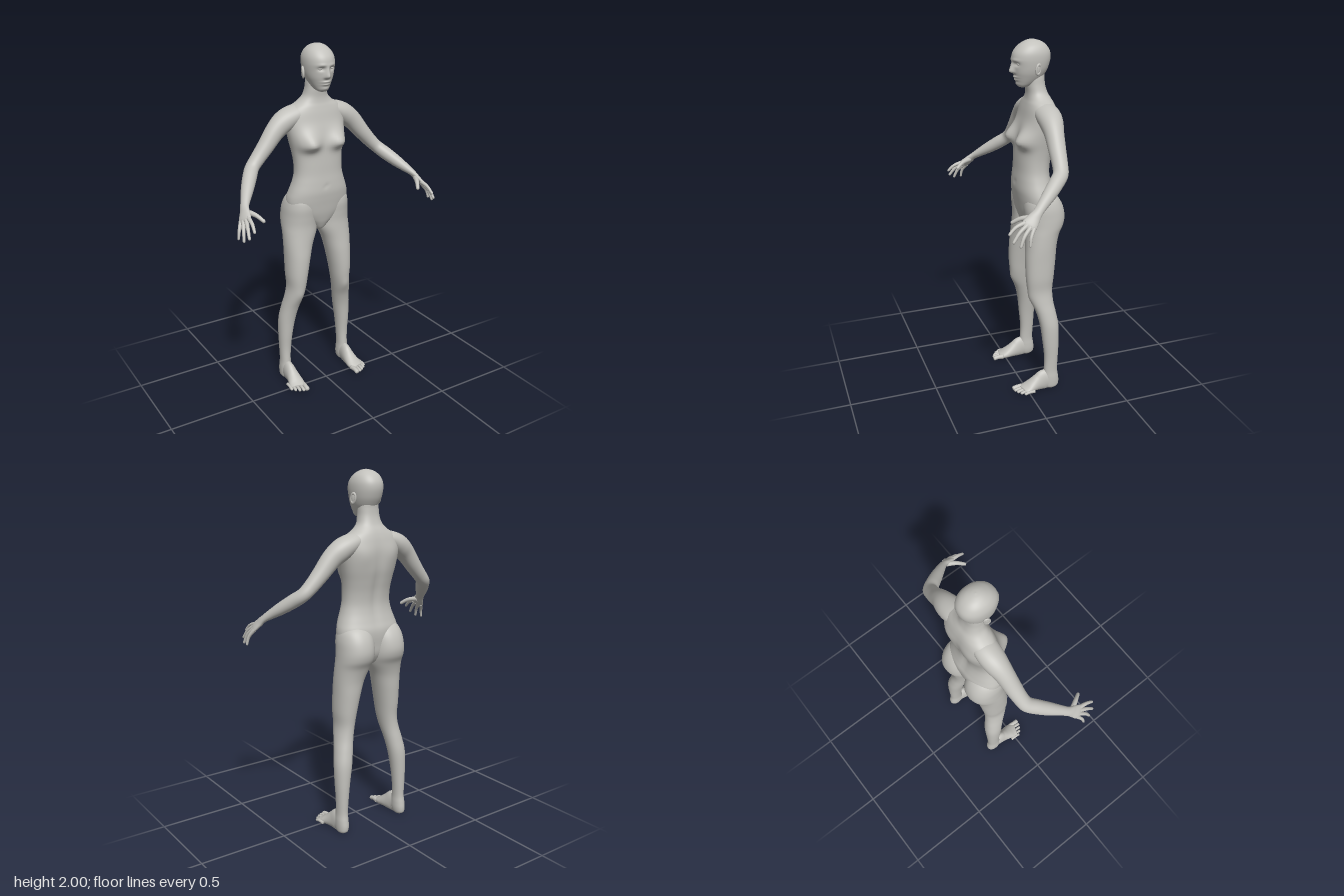
import * as THREE from 'three';

const skin = new THREE.MeshStandardMaterial({ color: 0xc2c1bc });
skin.name = 'warmGrey';

// Catmull-Rom sample of a list of number rows
function sample(rows, t) {
  const n = rows.length - 1, f = Math.min(t, 0.99999) * n, i = Math.floor(f), s = f - i;
  const at = (k) => rows[Math.max(0, Math.min(n, k))];
  const [p, a, b, q] = [at(i - 1), at(i), at(i + 1), at(i + 2)];
  return a.map((_, k) => a[k] + 0.5 * s * (b[k] - p[k] +
    s * (2 * p[k] - 5 * a[k] + 4 * b[k] - q[k] + s * (3 * (a[k] - b[k]) + q[k] - p[k]))));
}

// Closed skin over rows of points, with a pole at each end
function skinOver(nRows, nSeg, point) {
  const pos = [], idx = [];
  for (let i = 0; i <= nRows; i++)
    for (let j = 0; j < nSeg; j++) pos.push(...point(i / nRows, (j / nSeg) * Math.PI * 2));
  for (let i = 0; i < nRows; i++)
    for (let j = 0; j < nSeg; j++) {
      const k = (j + 1) % nSeg, a = i * nSeg + j, b = i * nSeg + k;
      idx.push(a, a + nSeg, b, b, a + nSeg, b + nSeg);
    }
  for (const row of [0, nRows]) {
    const c = [0, 0, 0], pole = pos.length / 3;
    for (let j = 0; j < nSeg; j++)
      for (let k = 0; k < 3; k++) c[k] += pos[(row * nSeg + j) * 3 + k] / nSeg;
    pos.push(...c);
    for (let j = 0; j < nSeg; j++) {
      const a = row * nSeg + j, b = row * nSeg + (j + 1) % nSeg;
      idx.push(...(row ? [pole, b, a] : [pole, a, b]));
    }
  }
  const g = new THREE.BufferGeometry();
  g.setAttribute('position', new THREE.Float32BufferAttribute(pos, 3));
  g.setIndex(idx);
  g.computeVertexNormals();
  return g;
}

// Level cross-sections, lowest first: [y, centre x, half width, front z, back z]
function column(rings, nRows, nSeg, power, shape) {
  const curve = (v) => Math.sign(v) * Math.abs(v) ** (2 / power);
  return skinOver(nRows, nSeg, (t, th) => {
    const [y, cx, hw, zf, zb] = sample(rings, t);
    const s = Math.sin(th), x = cx + hw * curve(Math.cos(th));
    return [x, y, (zf + zb) / 2 + ((zf - zb) / 2) * curve(s) + shape(Math.abs(x), y, s)];
  });
}

// Tube along a path: [x, y, z, thickness radius, width radius]
function limb(path, nRows, nSeg, ref, tip = 0) {
  const up = new THREE.Vector3(...ref);
  return skinOver(nRows, nSeg, (t, th) => {
    const [x, y, z, a, b] = sample(path, t);
    const e = 0.01, p0 = sample(path, Math.max(0, t - e)), p1 = sample(path, Math.min(1, t + e));
    const T = new THREE.Vector3(p1[0] - p0[0], p1[1] - p0[1], p1[2] - p0[2]).normalize();
    const B = up.clone().addScaledVector(T, -up.dot(T)).normalize();
    const A = T.clone().cross(B);
    const k = tip ? Math.sqrt(Math.max(0, 1 - Math.max(0, (t - 1 + tip) / tip) ** 2)) : 1;
    const v = new THREE.Vector3(x, y, z).addScaledVector(A, a * k * Math.cos(th))
      .addScaledVector(B, b * k * Math.sin(th));
    return [v.x, Math.max(0, v.y), v.z];
  });
}

function mirrored(g) {
  const m = g.clone().scale(-1, 1, 1), ix = m.index.array;
  for (let i = 0; i < ix.length; i += 3) [ix[i], ix[i + 1]] = [ix[i + 1], ix[i]];
  m.computeVertexNormals();
  return m;
}

const bump = (x, y, cx, cy, wx, wy, h) =>
  h * Math.exp(-(((x - cx) / wx) ** 2) - ((y - cy) / wy) ** 2);

export function createModel() {
  const model = new THREE.Group();
  const add = (name, g) => {
    const m = new THREE.Mesh(g, skin);
    m.name = name;
    model.add(m);
  };
  const pair = (name, g) => {
    add(name + 'Left', g);
    add(name + 'Right', mirrored(g));
  };

  // Torso and neck, with chest and spine shaped by bumps
  const torso = [
    [0.95, 0.012, -0.07, -0.13], [0.965, 0.034, -0.05, -0.16], [1.0, 0.072, -0.032, -0.185],
    [1.03, 0.118, -0.022, -0.197], [1.07, 0.162, -0.012, -0.203], [1.12, 0.186, -0.004, -0.209],
    [1.16, 0.186, 0.002, -0.208],
    [1.2, 0.174, 0.006, -0.196], [1.25, 0.156, 0.004, -0.183], [1.3, 0.144, 0, -0.178],
    [1.36, 0.143, -0.002, -0.184], [1.42, 0.15, -0.005, -0.197], [1.48, 0.162, -0.01, -0.21],
    [1.54, 0.173, -0.022, -0.215], [1.59, 0.178, -0.035, -0.215], [1.635, 0.168, -0.045, -0.208],
    [1.665, 0.143, -0.053, -0.2], [1.69, 0.103, -0.06, -0.19], [1.72, 0.073, -0.063, -0.174],
    [1.76, 0.061, -0.06, -0.162], [1.8, 0.057, -0.06, -0.158], [1.83, 0.052, -0.065, -0.158],
    [1.86, 0.04, -0.08, -0.15],
  ].map(([y, w, f, b]) => [y, 0, w, f, b]);
  add('torso', column(torso, 110, 72, 2.3, (x, y, s) => s > 0
    ? Math.min(1, s * 2) * (bump(x, y, 0.092, 1.47, 0.055, y < 1.47 ? 0.034 : 0.06, 0.05)
      + bump(x, y, 0, 1.23, 0.01, 0.012, -0.004))
    : Math.min(1, -s * 2) * (bump(x, y, 0, 1.38, 0.025, 0.2, 0.01)
      + bump(x, y, 0.09, 1.56, 0.05, 0.06, -0.008))));

  // Head with nose, brow, sockets, lips and chin
  const head = [
    [1.752, 0.022, -0.02, -0.06], [1.762, 0.036, -0.01, -0.085], [1.78, 0.049, -0.003, -0.12],
    [1.805, 0.062, 0.004, -0.15], [1.83, 0.072, 0.01, -0.167], [1.86, 0.079, 0.014, -0.181],
    [1.9, 0.083, 0.02, -0.191], [1.935, 0.08, 0.012, -0.188], [1.965, 0.067, -0.012, -0.17],
    [1.985, 0.046, -0.04, -0.145], [1.996, 0.023, -0.065, -0.115], [2.0, 0.001, -0.089, -0.091],
  ].map(([y, w, f, b]) => [y, 0, w, f, b]);
  add('head', column(head, 100, 96, 2.15, (x, y, s) => s < 0 ? 0 : Math.min(1, s * 2) * (
    bump(x, y, 0, 1.836, 0.015, y < 1.836 ? 0.01 : 0.024, 0.025)
    + bump(x, y, 0, 1.868, 0.01, 0.02, 0.009) + bump(x, y, 0.032, 1.877, 0.017, 0.011, -0.011)
    + bump(x, y, 0.03, 1.896, 0.025, 0.009, 0.004) + bump(x, y, 0, 1.807, 0.024, 0.006, 0.008)
    + bump(x, y, 0, 1.793, 0.021, 0.006, 0.008) + bump(x, y, 0, 1.769, 0.022, 0.011, 0.005))));
  pair('eye', new THREE.SphereGeometry(1, 20, 12).scale(0.014, 0.007, 0.01).translate(0.033, 1.877, -0.005));

  // Ears: a rim round a shallow bowl
  const place = (g) => g.rotateY(Math.PI / 2 + 0.35).rotateX(-0.15).translate(0.086, 1.852, -0.095);
  pair('earRim', place(new THREE.TorusGeometry(0.014, 0.005, 10, 28).scale(1, 1.75, 1.3)));
  pair('earBowl', place(new THREE.SphereGeometry(1, 20, 12).scale(0.015, 0.026, 0.006)));

  // Arms from inside the shoulders down to the knuckles
  const across = [-0.2, 0, 1];
  pair('arm', limb([
    [0.03, 1.65, -0.127, 0.02, 0.035], [0.09, 1.638, -0.128, 0.043, 0.062],
    [0.15, 1.614, -0.13, 0.056, 0.067],
    [0.2, 1.586, -0.128, 0.059, 0.062], [0.25, 1.545, -0.122, 0.053, 0.052],
    [0.31, 1.475, -0.115, 0.045, 0.046], [0.365, 1.415, -0.108, 0.039, 0.041],
    [0.405, 1.375, -0.095, 0.036, 0.04], [0.44, 1.34, -0.055, 0.037, 0.039],
    [0.48, 1.3, -0.003, 0.033, 0.035], [0.515, 1.265, 0.045, 0.025, 0.028],
    [0.54, 1.238, 0.08, 0.018, 0.025], [0.553, 1.213, 0.107, 0.016, 0.033],
    [0.566, 1.19, 0.132, 0.013, 0.039], [0.573, 1.177, 0.146, 0.006, 0.032],
  ], 95, 36, across));

  // Fingers and thumb: root, middle, tip, radius
  const fingers = {
    thumb: [[0.543, 1.218, 0.105], [0.514, 1.209, 0.157], [0.487, 1.18, 0.202], 0.012],
    indexFinger: [[0.553, 1.2, 0.148], [0.558, 1.183, 0.2], [0.565, 1.148, 0.24], 0.0095],
    middleFinger: [[0.562, 1.192, 0.138], [0.578, 1.16, 0.188], [0.589, 1.112, 0.226], 0.0098],
    ringFinger: [[0.572, 1.184, 0.126], [0.592, 1.143, 0.168], [0.604, 1.09, 0.192], 0.0095],
    littleFinger: [[0.58, 1.177, 0.113], [0.602, 1.137, 0.137], [0.612, 1.09, 0.145], 0.0085],
  };
  for (const [name, [root, mid, tip, r]] of Object.entries(fingers))
    pair(name, limb([[...root, r * 1.3, r * 1.3], [...mid, r, r], [...tip, r * 0.75, r * 0.75]],
      20, 14, across, 0.12));

  // Legs from heel to hip: height, inner x, outer x, front z, back z
  const leg = [
    [0, 0.186, 0.226, -0.12, -0.175], [0.012, 0.177, 0.234, -0.105, -0.19],
    [0.04, 0.172, 0.237, -0.098, -0.194], [0.075, 0.172, 0.237, -0.1, -0.19],
    [0.12, 0.174, 0.234, -0.104, -0.184], [0.2, 0.169, 0.236, -0.106, -0.187],
    [0.3, 0.158, 0.24, -0.096, -0.191], [0.4, 0.141, 0.239, -0.084, -0.191],
    [0.48, 0.126, 0.226, -0.065, -0.179], [0.55, 0.112, 0.211, -0.038, -0.167],
    [0.62, 0.099, 0.201, -0.02, -0.165], [0.7, 0.085, 0.206, -0.012, -0.174],
    [0.8, 0.064, 0.207, -0.012, -0.185], [0.88, 0.042, 0.208, -0.018, -0.193],
    [0.95, 0.012, 0.207, -0.022, -0.212], [1.0, 0.003, 0.205, -0.023, -0.238],
    [1.05, 0.002, 0.202, -0.019, -0.246], [1.11, 0.004, 0.196, -0.014, -0.233],
    [1.16, 0.014, 0.178, -0.025, -0.202], [1.2, 0.04, 0.13, -0.07, -0.15],
  ].map(([y, a, b, f, k]) => [y, (a + b) / 2, (b - a) / 2, f, k]);
  pair('leg', column(leg, 100, 44, 2.15, (x, y, s) =>
    s > 0 ? s * bump(x, y, 0.15, 0.575, 0.03, 0.035, 0.006) : 0));

  // Feet with flat soles, and toes
  const up = [0, 1, 0];
  pair('foot', limb([
    [0.204, 0.03, -0.175, 0.018, 0.022], [0.204, 0.045, -0.14, 0.028, 0.055],
    [0.204, 0.052, -0.105, 0.031, 0.066], [0.203, 0.043, -0.07, 0.035, 0.053],
    [0.204, 0.032, -0.035, 0.041, 0.038], [0.208, 0.021, 0, 0.047, 0.026],
    [0.216, 0.014, 0.033, 0.044, 0.015],
  ], 40, 32, up));
  const toes = [[0.177, 0.084, 0.0145], [0.2, 0.081, 0.0098], [0.221, 0.071, 0.0095],
    [0.241, 0.056, 0.0092], [0.257, 0.037, 0.009]];
  toes.forEach(([x, z, r], i) => pair('toe' + (i + 1), limb([
    [x - 0.002, 0.017, z - 0.065, r, r], [x, 0.018, z - 0.03, r * 0.9, r * 0.9],
    [x + 0.001, 0.011, z, r, r * 0.9],
  ], 16, 14, up, 0.2)));

  return model;
}
